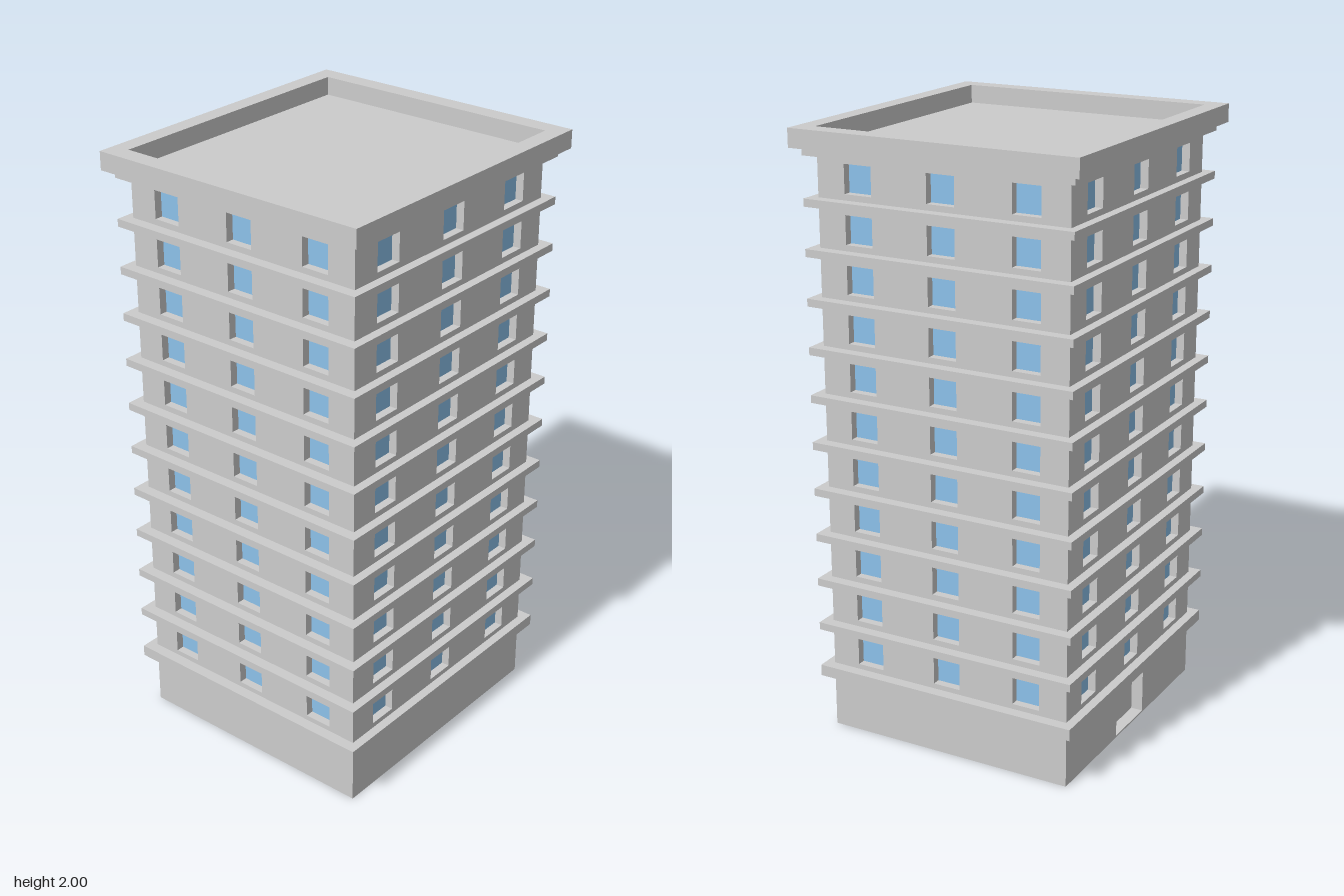
import * as THREE from 'three';

const W = 0.46, D = 0.43;          // half width and half depth of the tower
const TOP = 1.93;                  // top of the walls
const WALL = 0.04, RECESS = 0.027; // wall thickness and window setback
const FLOORS = 11, STEP = 0.1562;

const grey = new THREE.MeshStandardMaterial({ color: 0xcccccc });
const glass = new THREE.MeshStandardMaterial({ color: 0x8cc1ea });

function rect(Type, x0, y0, x1, y1) {
  return new Type([
    new THREE.Vector2(x0, y0), new THREE.Vector2(x1, y0),
    new THREE.Vector2(x1, y1), new THREE.Vector2(x0, y1),
  ]);
}

function add(parent, name, geometry, material, x = 0, y = 0, z = 0) {
  const mesh = new THREE.Mesh(geometry, material);
  mesh.name = name;
  mesh.position.set(x, y, z);
  parent.add(mesh);
  return mesh;
}

function slab(parent, name, halfX, halfZ, y0, y1) {
  add(parent, name, new THREE.BoxGeometry(halfX * 2, y1 - y0, halfZ * 2), grey, 0, (y0 + y1) / 2, 0);
}

// One facade facing +z, its outer face at z = 0, with recessed windows
function facade(name, half, spacing, winW, hasDoor) {
  const group = new THREE.Group();
  group.name = name;
  const shape = rect(THREE.Shape, -half, 0, half, TOP);
  const pane = new THREE.PlaneGeometry(winW, 0.092);
  for (let i = 0; i < FLOORS; i++) {
    const y = 0.287 + i * STEP;
    for (const k of [-1, 0, 1]) {
      const x = k * spacing;
      shape.holes.push(rect(THREE.Path, x - winW / 2, y - 0.046, x + winW / 2, y + 0.046));
      add(group, 'windowPane', pane, glass, x, y, -RECESS);
    }
  }
  // Doorway, with the core behind it as the door surface
  if (hasDoor) shape.holes.push(rect(THREE.Path, -0.1, 0.006, 0.1, 0.155));
  const wall = new THREE.ExtrudeGeometry(shape, { depth: WALL, bevelEnabled: false });
  add(group, 'wall', wall, grey, 0, 0, -WALL);
  return group;
}

export function createModel() {
  const model = new THREE.Group();
  model.name = 'towerBlock';

  // Inner core behind the walls
  slab(model, 'core', W - WALL, D - WALL, 0, TOP);

  // Four facades, the door on the back one
  for (const side of [0, 1]) {
    const a = facade(side ? 'backFacade' : 'frontFacade', W, 0.309, 0.1, side === 1);
    a.rotation.y = side * Math.PI;
    a.position.z = side ? -D : D;
    const b = facade(side ? 'rightFacade' : 'leftFacade', D - WALL, 0.287, 0.095, false);
    b.rotation.y = side ? -Math.PI / 2 : Math.PI / 2;
    b.position.x = side ? -W : W;
    model.add(a, b);
  }

  // Ledges: a thick one over the ground floor, a thin one above every storey
  slab(model, 'groundLedge', 0.497, 0.46, 0.186, 0.224);
  for (let i = 0; i < FLOORS; i++) {
    const y = 0.353 + i * STEP;
    slab(model, 'floorLedge', 0.497, 0.46, y, y + 0.025);
  }

  // Parapet ring around the sunken roof
  const ring = rect(THREE.Shape, -0.526, -0.488, 0.526, 0.488);
  ring.holes.push(rect(THREE.Path, -0.464, -0.43, 0.464, 0.43));
  const parapet = new THREE.ExtrudeGeometry(ring, { depth: 0.06, bevelEnabled: false });
  parapet.rotateX(-Math.PI / 2);
  add(model, 'parapet', parapet, grey, 0, 1.94, 0);

  return model;
}
